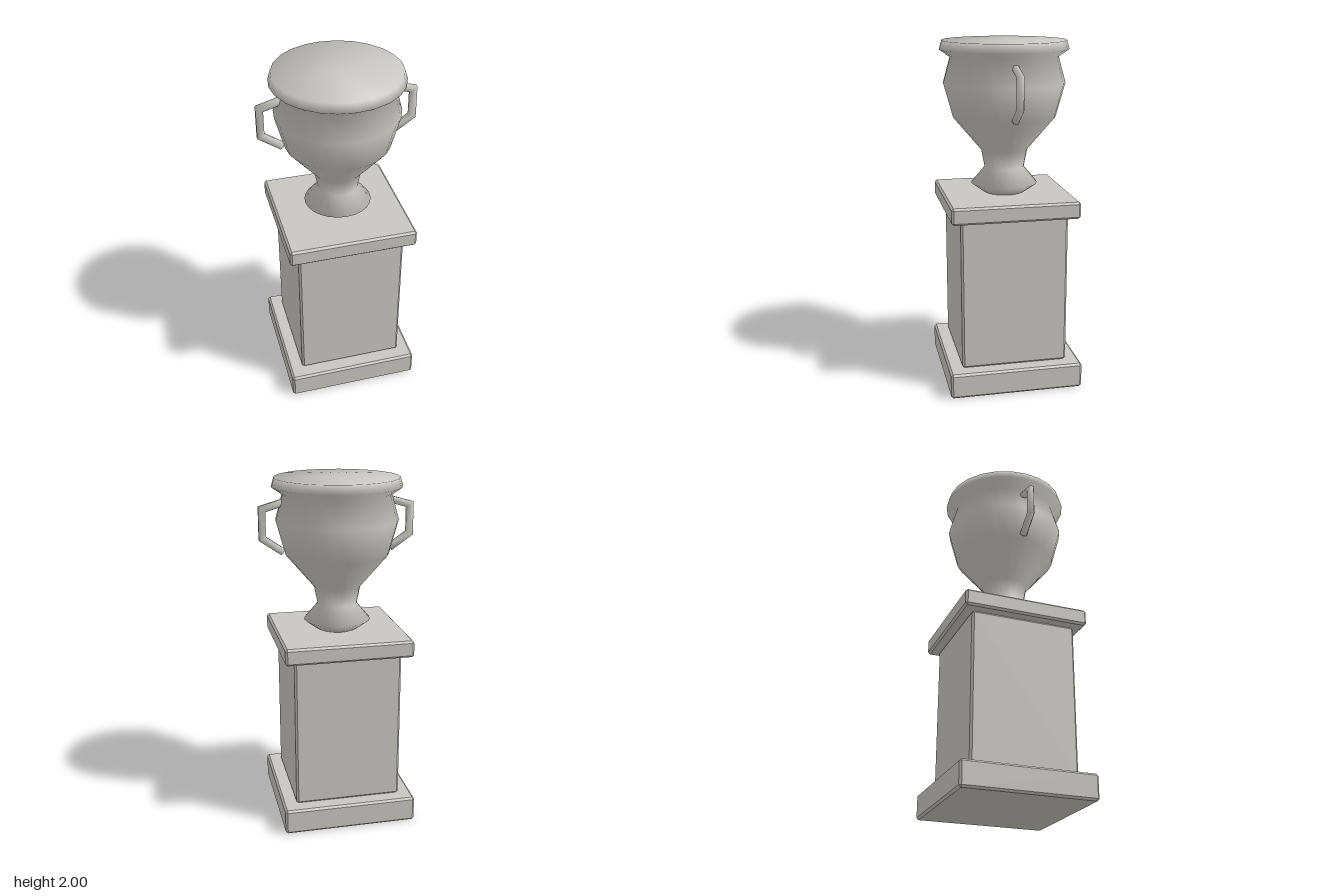
import * as THREE from 'three';
import { ConvexGeometry } from 'three/addons/geometries/ConvexGeometry.js';

const stone = new THREE.MeshStandardMaterial({ color: 0xc8c6c2 });
stone.name = 'pale grey stone';

function addMesh(parent, name, geometry) {
  const mesh = new THREE.Mesh(geometry, stone);
  mesh.name = name;
  parent.add(mesh);
  return mesh;
}

// Square block with every edge chamfered, from y0 to y1
function chamferedBlock(half, y0, y1, c = 0.012) {
  const h = (y1 - y0) / 2, points = [];
  for (const sx of [-1, 1]) for (const sy of [-1, 1]) for (const sz of [-1, 1]) {
    for (let axis = 0; axis < 3; axis++) {
      const inset = [c, c, c];
      inset[axis] = 0;
      points.push(new THREE.Vector3(sx * (half - inset[0]), sy * (h - inset[1]), sz * (half - inset[2])));
    }
  }
  return new ConvexGeometry(points).translate(0, (y0 + y1) / 2, 0);
}

// Turned form whose normals blend evenly across neighbouring profile segments
function smoothLathe(profile, sides) {
  const points = profile.map(([r, y]) => new THREE.Vector2(r, y));
  const geometry = new THREE.LatheGeometry(points, sides);
  const segment = points.slice(1).map((p, i) =>
    new THREE.Vector2(p.y - points[i].y, points[i].x - p.x).normalize());
  const normal = geometry.attributes.normal;
  for (let i = 0; i <= sides; i++) {
    const a = (i / sides) * Math.PI * 2;
    points.forEach((p, j) => {
      const n = new THREE.Vector2();
      if (j > 0) n.add(segment[j - 1]);
      if (j < segment.length) n.add(segment[j]);
      n.normalize();
      normal.setXYZ(i * points.length + j, n.x * Math.sin(a), n.y, n.x * Math.cos(a));
    });
  }
  return geometry;
}

// Mitred bar following a path in the xy plane, closed at both ends
function mitredBar(path, radius, sides) {
  const pts = path.map(([x, y]) => new THREE.Vector2(x, y));
  const dirs = pts.slice(1).map((p, i) => p.clone().sub(pts[i]).normalize());
  const pos = [], index = [];
  pts.forEach((p, i) => {
    const before = dirs[Math.max(i - 1, 0)], after = dirs[Math.min(i, dirs.length - 1)];
    const t = before.clone().add(after).normalize();
    const spread = radius / t.dot(after);
    for (let k = 0; k < sides; k++) {
      const a = (k / sides) * Math.PI * 2;
      const s = Math.sin(a) * spread;
      pos.push(p.x - t.y * s, p.y + t.x * s, Math.cos(a) * radius);
    }
  });
  for (let i = 0; i < pts.length - 1; i++) {
    for (let k = 0; k < sides; k++) {
      const a = i * sides + k, b = i * sides + (k + 1) % sides;
      index.push(a, a + sides, b, b, a + sides, b + sides);
    }
  }
  const last = (pts.length - 1) * sides;
  for (let k = 1; k < sides - 1; k++) {
    index.push(0, k, k + 1, last, last + k + 1, last + k);
  }
  // Make sure the faces point outward
  const v = (i) => new THREE.Vector3().fromArray(pos, i * 3);
  const face = v(index[1]).sub(v(index[0])).cross(v(index[2]).sub(v(index[0])));
  const outward = v(index[0]).sub(new THREE.Vector3(pts[0].x, pts[0].y, 0));
  if (face.dot(outward) < 0) {
    for (let i = 0; i < index.length; i += 3) [index[i + 1], index[i + 2]] = [index[i + 2], index[i + 1]];
  }
  const geometry = new THREE.BufferGeometry();
  geometry.setAttribute('position', new THREE.Float32BufferAttribute(pos, 3));
  geometry.setIndex(index);
  geometry.computeVertexNormals();
  return geometry;
}

export function createModel() {
  const model = new THREE.Group();
  model.name = 'urnOnPedestal';

  // Pedestal
  const pedestal = new THREE.Group();
  pedestal.name = 'pedestal';
  model.add(pedestal);
  addMesh(pedestal, 'plinth', chamferedBlock(0.388, 0, 0.148));
  addMesh(pedestal, 'column', chamferedBlock(0.309, 0.148, 1.028));
  addMesh(pedestal, 'capSlab', chamferedBlock(0.367, 1.028, 1.125));

  // Urn: foot, stem, belly, neck, lip and closed top
  const urn = new THREE.Group();
  urn.name = 'urn';
  model.add(urn);
  addMesh(urn, 'urnBody', smoothLathe([
    [0, 1.125], [0.12, 1.125], [0.193, 1.178], [0.115, 1.272], [0.135, 1.375],
    [0.297, 1.567], [0.35, 1.762], [0.31, 1.908], [0.37, 1.95], [0.355, 2], [0, 2],
  ], 24));

  // Two angular handles
  const bar = mitredBar([[0.3, 1.868], [0.428, 1.832], [0.428, 1.667], [0.312, 1.587]], 0.023, 6);
  addMesh(urn, 'leftHandle', bar);
  addMesh(urn, 'rightHandle', bar).rotation.y = Math.PI;

  return model;
}
